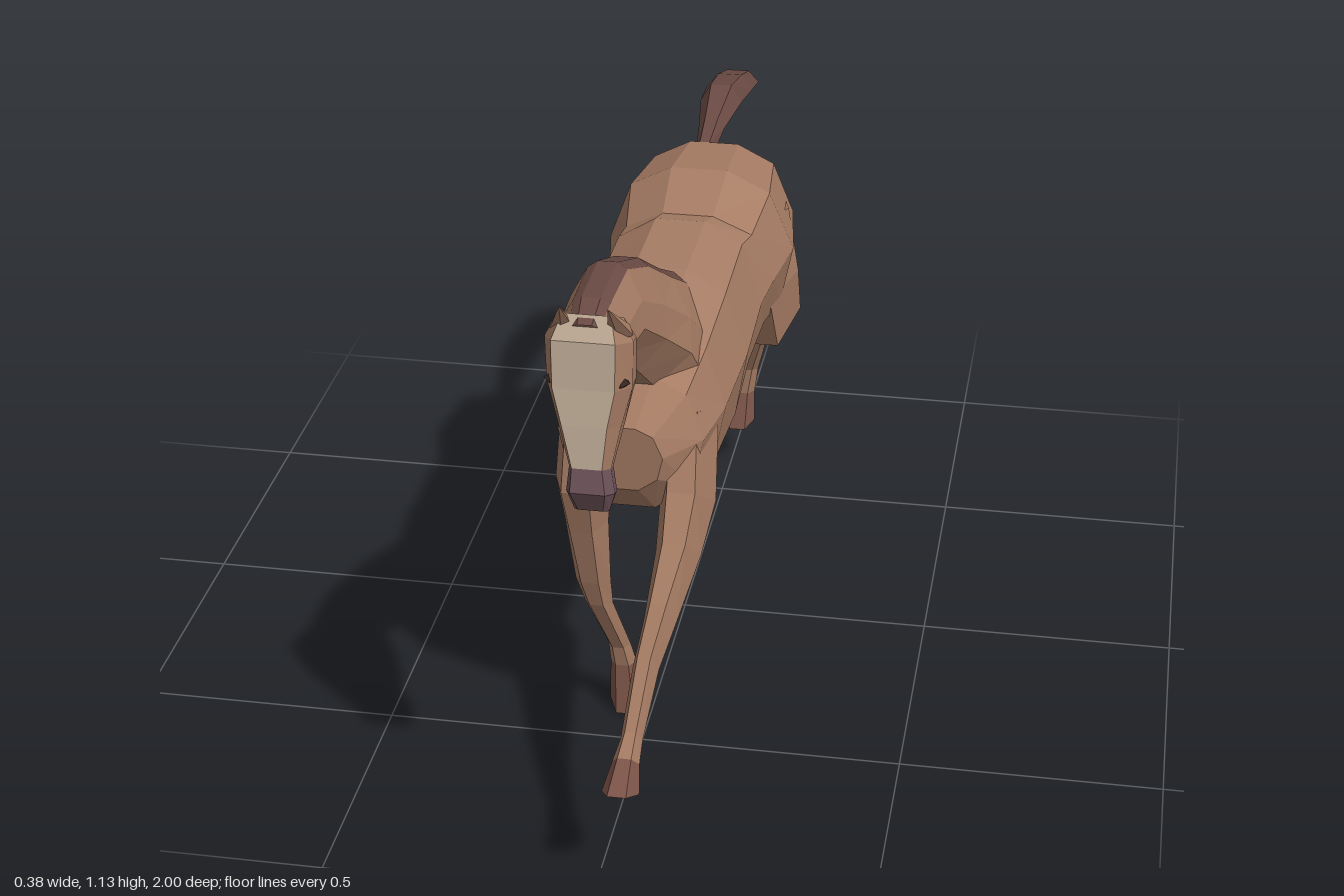
import * as THREE from 'three';

const COAT = 0xa67c64, DARK = 0x6b4a44, HOOF = 0x7c5448, MUZZLE = 0x6c5159, PALE = 0xb8a590;

// Half cross-sections [u across, v from first edge to second], mirrored into full rings
const TRUNK = [[0.3, 0], [0.75, 0.12], [1, 0.45], [0.85, 0.8], [0.35, 1]];
const NECK = [[0.25, 0], [0.5, 0.07], [0.9, 0.4], [1, 0.7], [0.45, 1]];
const HEAD = [[0.72, 0], [1, 0.3], [0.9, 0.7], [0.4, 1]];
const LIMB = [[0.5, 0], [1, 0.5], [0.5, 1]];

// Loft through sections [z1, y1, z2, y2, centreX, halfWidth]; pick chooses the side facets
function loft(name, color, profile, sections, { pick = () => true, caps = true } = {}) {
  const rings = sections.map(([z1, y1, z2, y2, cx, w]) => {
    const at = (s) => ([u, v]) =>
      new THREE.Vector3(cx + s * u * w, y1 + (y2 - y1) * v, z1 + (z2 - z1) * v);
    return [...profile.map(at(1)), ...profile.map(at(-1)).reverse()];
  });
  // Find whether the sections advance along the ring normal, so faces point outward
  let dir = 0;
  for (let i = 1; i < sections.length; i++) {
    const a = sections[i - 1], b = sections[i];
    dir += (a[2] - a[0]) * (a[1] + a[3] - b[1] - b[3]) + (a[3] - a[1]) * (b[0] + b[2] - a[0] - a[2]);
  }
  const pos = [];
  const tri = (a, b, c) => {
    for (const p of dir > 0 ? [a, b, c] : [a, c, b]) pos.push(p.x, p.y, p.z);
  };
  const n = profile.length * 2;
  for (let i = 0; i < rings.length - 1; i++) {
    for (let j = 0; j < n; j++) {
      if (!pick(j, n)) continue;
      const k = (j + 1) % n, a = rings[i], b = rings[i + 1];
      tri(a[j], a[k], b[k]);
      tri(a[j], b[k], b[j]);
    }
  }
  if (caps) {
    const first = rings[0], last = rings[rings.length - 1];
    for (let j = 1; j < n - 1; j++) {
      tri(first[0], first[j + 1], first[j]);
      tri(last[0], last[j], last[j + 1]);
    }
  }
  const geo = new THREE.BufferGeometry();
  geo.setAttribute('position', new THREE.Float32BufferAttribute(pos, 3));
  return meshOf(name, geo, color);
}

function meshOf(name, geo, color) {
  geo.computeVertexNormals();
  const mesh = new THREE.Mesh(geo, new THREE.MeshStandardMaterial({ color, flatShading: true }));
  mesh.name = name;
  return mesh;
}

// A limb is a lofted leg plus a flared hoof
function leg(name, sections, hoof) {
  const g = new THREE.Group();
  g.name = name;
  g.add(loft('leg', COAT, LIMB, [...sections, hoof[0]]), loft('hoof', HOOF, LIMB, hoof));
  return g;
}

export function createModel() {
  const horse = new THREE.Group();
  horse.name = 'gallopingHorse';

  // Trunk from chest to rump
  horse.add(loft('body', COAT, TRUNK, [
    [0.605, 0.74, 0.597, 0.61, -0.01, 0.07],
    [0.53, 0.81, 0.55, 0.55, -0.01, 0.135],
    [0.40, 0.85, 0.42, 0.505, -0.01, 0.155],
    [0.22, 0.88, 0.18, 0.484, -0.01, 0.165],
    [0, 0.88, 0, 0.51, -0.01, 0.163],
    [-0.06, 0.865, -0.17, 0.532, -0.005, 0.168],
    [-0.17, 0.917, -0.24, 0.53, 0, 0.188],
    [-0.36, 0.895, -0.38, 0.57, 0, 0.165],
    [-0.42, 0.83, -0.44, 0.63, -0.01, 0.10],
  ]));

  // Neck, with the upper facets forming the mane
  const neck = [
    [0.23, 0.878, 0.48, 0.68, -0.015, 0.125],
    [0.36, 0.945, 0.53, 0.79, -0.015, 0.108],
    [0.52, 1.04, 0.62, 0.865, -0.018, 0.085],
    [0.68, 1.105, 0.725, 0.95, -0.02, 0.07],
    [0.83, 1.107, 0.765, 0.96, -0.02, 0.065],
    [0.89, 1.085, 0.80, 0.98, -0.02, 0.05],
  ];
  const isMane = (j, n) => j === n - 1 || j === 0 || j === n - 2;
  horse.add(
    loft('neck', COAT, NECK, neck, { pick: (j, n) => !isMane(j, n) }),
    loft('mane', DARK, NECK, neck, { pick: isMane, caps: false }),
  );

  // Head, with the flat front facet forming the pale blaze
  const head = [
    [0.87, 1.095, 0.765, 1.04, -0.02, 0.058],
    [0.905, 1.06, 0.735, 1.0, -0.02, 0.076],
    [0.922, 0.98, 0.737, 0.93, -0.017, 0.074],
    [0.94, 0.92, 0.785, 0.855, -0.013, 0.054],
    [0.958, 0.85, 0.86, 0.812, -0.006, 0.036],
  ];
  const isBlaze = (j, n) => j === n - 1;
  horse.add(
    loft('head', COAT, HEAD, head, { pick: (j, n) => !isBlaze(j, n) }),
    loft('blaze', PALE, HEAD, head, { pick: isBlaze, caps: false }),
    loft('muzzle', MUZZLE, HEAD, [
      head[4],
      [0.972, 0.81, 0.872, 0.772, -0.003, 0.042],
      [0.952, 0.768, 0.905, 0.747, -0.002, 0.03],
    ]),
  );

  // Ears and eyes, mirrored about the head's middle
  for (const s of [1, -1]) {
    const ear = meshOf(s > 0 ? 'leftEar' : 'rightEar', new THREE.ConeGeometry(0.024, 0.1, 5), COAT);
    ear.scale.z = 0.7;
    ear.position.set(-0.015 + s * 0.045, 1.095, 0.885);
    ear.rotation.set(0.75, 0, s * 0.08);
    const eye = meshOf(s > 0 ? 'leftEye' : 'rightEye', new THREE.OctahedronGeometry(0.018), 0x33241f);
    eye.scale.set(0.8, 0.6, 1.2);
    eye.position.set(-0.017 + s * 0.06, 0.982, 0.888);
    horse.add(ear, eye);
  }

  // Forelegs: left reaches forward, right pushes off the ground
  horse.add(leg('leftForeleg', [
    [0.52, 0.74, 0.34, 0.66, 0.085, 0.05],
    [0.596, 0.61, 0.43, 0.50, 0.092, 0.052],
    [0.66, 0.54, 0.56, 0.445, 0.09, 0.042],
    [0.74, 0.46, 0.70, 0.365, 0.075, 0.03],
    [0.80, 0.385, 0.765, 0.315, 0.06, 0.024],
    [0.885, 0.28, 0.86, 0.235, 0.05, 0.02],
  ], [
    [0.925, 0.25, 0.895, 0.212, 0.046, 0.025],
    [0.997, 0.217, 0.92, 0.184, 0.045, 0.034],
  ]));
  horse.add(leg('rightForeleg', [
    [0.55, 0.70, 0.38, 0.70, -0.105, 0.05],
    [0.56, 0.57, 0.40, 0.55, -0.112, 0.052],
    [0.53, 0.47, 0.418, 0.47, -0.108, 0.042],
    [0.495, 0.34, 0.425, 0.32, -0.10, 0.034],
    [0.475, 0.28, 0.415, 0.26, -0.092, 0.027],
    [0.408, 0.145, 0.37, 0.145, -0.064, 0.022],
  ], [
    [0.40, 0.10, 0.36, 0.10, -0.058, 0.026],
    [0.418, 0, 0.35, 0.028, -0.05, 0.035],
  ]));

  // Hind legs: left hangs below the hock, right trails behind
  horse.add(leg('leftHindLeg', [
    [-0.17, 0.80, -0.42, 0.78, 0.095, 0.07],
    [-0.155, 0.64, -0.44, 0.66, 0.11, 0.077],
    [-0.22, 0.51, -0.44, 0.585, 0.125, 0.064],
    [-0.37, 0.455, -0.50, 0.55, 0.118, 0.042],
    [-0.54, 0.43, -0.60, 0.505, 0.085, 0.027],
    [-0.575, 0.385, -0.635, 0.42, 0.075, 0.024],
    [-0.65, 0.225, -0.702, 0.21, 0.032, 0.021],
  ], [
    [-0.65, 0.165, -0.695, 0.16, 0.02, 0.026],
    [-0.62, 0.088, -0.69, 0.11, 0.014, 0.035],
  ]));
  horse.add(leg('rightHindLeg', [
    [-0.17, 0.80, -0.42, 0.78, -0.095, 0.07],
    [-0.18, 0.64, -0.455, 0.70, -0.115, 0.075],
    [-0.28, 0.52, -0.49, 0.645, -0.128, 0.06],
    [-0.45, 0.51, -0.56, 0.612, -0.12, 0.042],
    [-0.62, 0.495, -0.685, 0.57, -0.097, 0.027],
    [-0.68, 0.46, -0.725, 0.515, -0.09, 0.023],
    [-0.835, 0.315, -0.86, 0.357, -0.09, 0.02],
  ], [
    [-0.89, 0.298, -0.89, 0.338, -0.09, 0.024],
    [-0.998, 0.28, -0.96, 0.355, -0.09, 0.033],
  ]));

  // Tail streaming behind, with a pale tip
  const tailEnd = [-0.82, 0.875, -0.80, 0.835, -0.02, 0.047];
  horse.add(
    loft('tail', DARK, LIMB, [
      [-0.36, 0.895, -0.39, 0.85, -0.02, 0.02],
      [-0.45, 0.912, -0.45, 0.868, -0.02, 0.027],
      [-0.58, 0.935, -0.58, 0.862, -0.02, 0.044],
      [-0.70, 0.912, -0.70, 0.85, -0.02, 0.05],
      tailEnd,
    ]),
    loft('tailTip', PALE, LIMB, [tailEnd, [-0.885, 0.829, -0.88, 0.825, -0.02, 0.004]]),
  );
  return horse;
}
